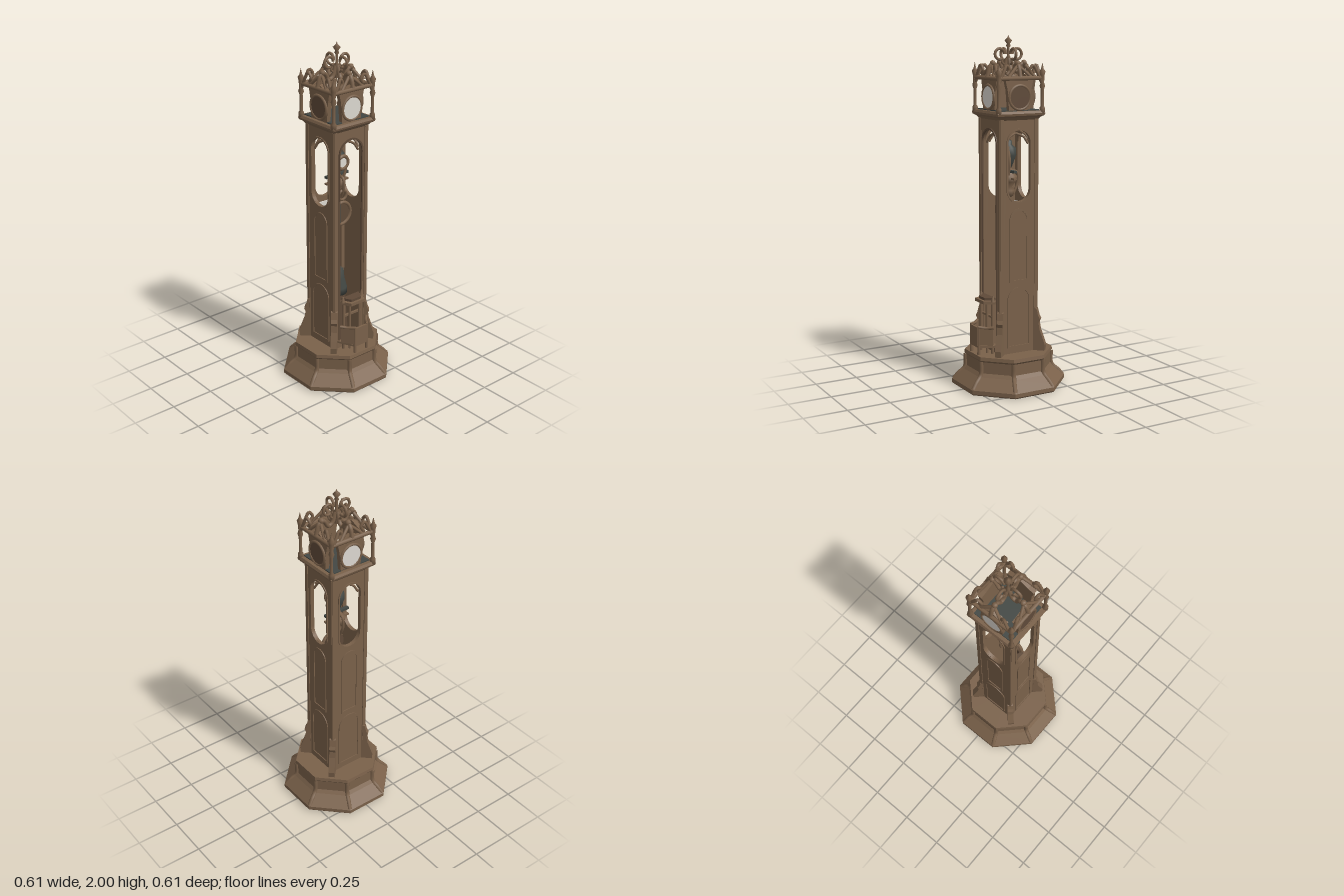
import * as THREE from 'three';

const mat = (name, color, side = THREE.FrontSide) => {
  const m = new THREE.MeshStandardMaterial({ color, side });
  m.name = name;
  return m;
};

export function createModel() {
  const brown = mat('bronze brown', 0x7a614a);
  const dark = mat('shadow brown', 0x5f4a39);
  const slate = mat('slate', 0x434844);
  const cream = mat('dial cream', 0xdcd8d0);
  const model = new THREE.Group();
  model.name = 'clockTower';

  const add = (parent, name, geo, material, x = 0, y = 0, z = 0) => {
    const m = new THREE.Mesh(geo, material);
    m.name = name;
    m.position.set(x, y, z);
    parent.add(m);
    return m;
  };
  const box = (p, n, w, h, d, m, x, y, z) => add(p, n, new THREE.BoxGeometry(w, h, d), m, x, y, z);
  const cyl = (p, n, r1, r2, h, m, x, y, z, seg = 10) =>
    add(p, n, new THREE.CylinderGeometry(r1, r2, h, seg), m, x, y, z);
  const lathe = (p, n, pts, m, x = 0, z = 0, seg = 16) =>
    add(p, n, new THREE.LatheGeometry(pts.map(([r, y]) => new THREE.Vector2(r, y)), seg), m, x, 0, z);
  const tube = (p, n, pts, r, m) => add(p, n, new THREE.TubeGeometry(
    new THREE.CatmullRomCurve3(pts.map(a => new THREE.Vector3(...a))), 20, r, 7), m);
  const extrude = (shape, depth) =>
    new THREE.ExtrudeGeometry(shape, { depth, bevelEnabled: false, curveSegments: 14 });
  const poly = pts => new THREE.Shape(pts.map(a => new THREE.Vector2(...a)));
  // Round-headed outline, optionally round at the foot too
  const arch = (Type, w, y0, y1, roundFoot) => {
    const s = new Type();
    s.moveTo(w, roundFoot ? y0 + w : y0);
    s.lineTo(w, y1 - w);
    s.absarc(0, y1 - w, w, 0, Math.PI, false);
    s.lineTo(-w, roundFoot ? y0 + w : y0);
    if (roundFoot) s.absarc(0, y0 + w, w, Math.PI, Math.PI * 2, false);
    else s.lineTo(w, y0);
    return s;
  };
  const frame = (w, y0, y1, t, roundFoot) => {
    const s = arch(THREE.Shape, w, y0, y1, roundFoot);
    s.holes.push(arch(THREE.Path, w - t, y0 + t, y1 - t, roundFoot));
    return s;
  };

  // Octagonal plinth, flat sides facing the axes
  const rings = [[0, 0], [0.298, 0], [0.305, 0.008], [0.305, 0.03], [0.29, 0.045], [0.245, 0.09],
    [0.23, 0.11], [0.23, 0.175], [0.238, 0.185], [0.235, 0.205], [0, 0.205]];
  const c8 = 1 / Math.cos(Math.PI / 8);
  const plinthGeo = new THREE.LatheGeometry(
    rings.map(([r, y]) => new THREE.Vector2(r * c8, y)), 8, Math.PI / 8).toNonIndexed();
  plinthGeo.computeVertexNormals();
  add(model, 'plinth', plinthGeo, brown);
  const under = cyl(model, 'plinthUnderside', 0.285 * c8, 0.285 * c8, 0.004, slate, 0, 0.001, 0, 8);
  under.rotation.y = Math.PI / 8;
  // Worn ribs on the plinth corners
  for (let i = 0; i < 8; i++) {
    const g = new THREE.Group();
    g.name = 'plinthCorner';
    g.rotation.y = Math.PI / 8 + i * Math.PI / 4;
    model.add(g);
    tube(g, 'plinthRib', [[0, 0.03, 0.318], [0, 0.06, 0.292], [0, 0.1, 0.253], [0, 0.18, 0.25]], 0.013, brown);
  }

  // Four sides: wall, window, panels, dial and crown rib
  for (let k = 0; k < 4; k++) {
    const side = new THREE.Group();
    side.name = ['frontSide', 'leftSide', 'backSide', 'rightSide'][k];
    side.rotation.y = k * Math.PI / 2;
    model.add(side);

    const wall = poly([[-0.122, 0.2], [0.122, 0.2], [0.118, 1.56], [-0.118, 1.56]]);
    wall.holes.push(k === 0 ? arch(THREE.Path, 0.08, 0.24, 1.48, false) : arch(THREE.Path, 0.072, 1.08, 1.48, true));
    add(side, 'wall', extrude(wall, 0.018), brown, 0, 0, 0.102);
    if (k === 0) {
      add(side, 'doorFrame', extrude(frame(0.088, 0.24, 1.488, 0.01, false), 0.008), dark, 0, 0, 0.118);
    } else {
      add(side, 'windowFrame', extrude(frame(0.08, 1.07, 1.488, 0.009, true), 0.007), brown, 0, 0, 0.118);
      add(side, 'longPanelFrame', extrude(frame(0.06, 0.62, 1.04, 0.012, false), 0.006), brown, 0, 0, 0.119);
      add(side, 'lowPanelFrame', extrude(frame(0.075, 0.24, 0.59, 0.01, false), 0.006), brown, 0, 0, 0.119);
    }
    for (const s of [-1, 1])
      box(side, 'cornerStrip', 0.022, 1.32, 0.008, brown, s * 0.11, 0.88, 0.121);
    // Pendant curls in the window head
    for (const s of [-1, 1])
      tube(side, 'windowCurl', [[s * 0.07, 1.4, 0.1], [s * 0.045, 1.44, 0.09], [0, 1.46, 0.08]], 0.007, brown);

    // Belfry dial panel with a gabled top
    const panel = poly([[-0.066, 1.58], [0.066, 1.58], [0.075, 1.7], [0.088, 1.755], [0.05, 1.765],
      [0, 1.785], [-0.05, 1.765], [-0.088, 1.755], [-0.075, 1.7]]);
    add(side, 'dialPanel', extrude(panel, 0.025), brown, 0, 0, 0.1);
    const dial = cyl(side, 'dial', 0.064, 0.064, 0.006, k % 2 ? dark : cream, 0, 1.66, 0.128, 28);
    dial.rotation.x = Math.PI / 2;
    add(side, 'dialRim', new THREE.TorusGeometry(0.066, 0.008, 6, 28), brown, 0, 1.66, 0.128);

    // Crown edge rail, scrolls and rib to the centre
    const rail = cyl(side, 'crownRail', 0.012, 0.012, 0.28, brown, 0, 1.765, 0.135, 7);
    rail.rotation.z = Math.PI / 2;
    for (const s of [-1, 1]) {
      tube(side, 'edgeScroll', [[s * 0.135, 1.74, 0.135], [s * 0.105, 1.8, 0.135], [s * 0.085, 1.835, 0.13],
        [s * 0.065, 1.81, 0.125], [s * 0.08, 1.785, 0.125]], 0.009, brown);
      tube(side, 'gableScroll', [[s * 0.07, 1.77, 0.13], [s * 0.04, 1.8, 0.12], [0, 1.835, 0.105]], 0.009, brown);
    }
    tube(side, 'crownRib', [[0, 1.77, 0.135], [0, 1.83, 0.115], [0, 1.84, 0.085], [0, 1.8, 0.055],
      [0, 1.81, 0.03], [0, 1.87, 0.008]], 0.012, brown);
    add(side, 'ribKnob', new THREE.SphereGeometry(0.017, 8, 6), brown, 0, 1.845, 0.1);
    // Curled ring of the finial
    const curl = add(side, 'finialCurl', new THREE.TorusGeometry(0.03, 0.008, 7, 18, 5.2), brown, 0, 1.895, 0.055);
    curl.rotation.set(0, Math.PI / 2, 0);
    tube(side, 'finialStem', [[0, 1.83, 0.012], [0, 1.85, 0.04], [0, 1.87, 0.035]], 0.007, brown);

    // Corner pinnacle
    lathe(side, 'pinnacle', [[0.0, 1.57], [0.016, 1.57], [0.016, 1.6], [0.009, 1.61], [0.009, 1.7], [0.016, 1.72],
      [0.01, 1.74], [0.013, 1.78], [0.018, 1.8], [0.008, 1.815], [0, 1.85]], brown, 0.138, 0.138, 8);

    // Flared corner foot
    const corner = new THREE.Group();
    corner.name = 'cornerFoot';
    corner.rotation.y = Math.PI / 4;
    side.add(corner);
    const foot = poly([[0.14, 0.2], [0.218, 0.2], [0.222, 0.24], [0.208, 0.28], [0.19, 0.33], [0.184, 0.37],
      [0.192, 0.39], [0.182, 0.41], [0.172, 0.45], [0.14, 0.47]]);
    const footMesh = add(corner, 'footScroll', extrude(foot, 0.036), brown, -0.018, 0, 0);
    footMesh.rotation.y = -Math.PI / 2;
    footMesh.position.x = 0.018;
  }

  // Cornice and inner floors
  const cornice = [[0.12, 1.535], [0.132, 1.55], [0.148, 1.56], [0.152, 1.572], [0.145, 1.585], [0, 1.585]];
  const corniceGeo = new THREE.LatheGeometry(
    cornice.map(([r, y]) => new THREE.Vector2(r * Math.SQRT2, y)), 4, Math.PI / 4).toNonIndexed();
  corniceGeo.computeVertexNormals();
  add(model, 'cornice', corniceGeo, brown);
  box(model, 'belfryFloor', 0.25, 0.008, 0.25, slate, 0, 1.587, 0);
  box(model, 'shaftCeiling', 0.2, 0.01, 0.2, dark, 0, 1.53, 0);
  box(model, 'backLining', 0.2, 0.5, 0.006, cream, 0, 0.8, -0.098);

  // Finial spike
  lathe(model, 'finial', [[0, 1.8], [0.012, 1.8], [0.009, 1.85], [0.018, 1.865], [0.008, 1.885], [0.007, 1.93],
    [0.014, 1.94], [0.008, 1.95], [0.022, 1.97], [0.006, 1.985], [0, 2]], brown, 0, 0, 8);

  // Hanging movement inside the shaft
  const works = new THREE.Group();
  works.name = 'movement';
  model.add(works);
  cyl(works, 'hanger', 0.008, 0.008, 0.14, brown, 0, 1.46, 0);
  lathe(works, 'upperBell', [[0, 1.25], [0.018, 1.26], [0.03, 1.29], [0.045, 1.33], [0.043, 1.37], [0.02, 1.39],
    [0.022, 1.41], [0, 1.42]], slate);
  lathe(works, 'vase', [[0, 1.08], [0.03, 1.1], [0.035, 1.13], [0.02, 1.15], [0.045, 1.18], [0.05, 1.21],
    [0.025, 1.235], [0.018, 1.26]], brown);
  add(works, 'smallDialRing', new THREE.TorusGeometry(0.037, 0.011, 7, 22), brown, 0, 1.325, 0.05);
  cyl(works, 'smallDial', 0.034, 0.034, 0.008, cream, 0, 1.325, 0.05, 22).rotation.x = Math.PI / 2;
  add(works, 'lowerRing', new THREE.TorusGeometry(0.028, 0.008, 7, 18), brown, 0, 1.13, 0.05);
  for (const s of [-1, 1]) {
    tube(works, 'vaseHandle', [[0, 1.24, s * 0.02], [0, 1.23, s * 0.055], [0, 1.17, s * 0.06], [0, 1.1, s * 0.03]], 0.008, brown);
    tube(works, 'sideCurl', [[s * 0.03, 1.38, 0.02], [s * 0.05, 1.29, 0.02], [s * 0.035, 1.22, 0.02]], 0.008, brown);
    box(works, 'pendulumRod', 0.02, 0.42, 0.02, brown, s * 0.022, 0.8, 0.02);
  }
  box(works, 'crossBar', 0.16, 0.014, 0.02, slate, 0, 1.24, 0);
  box(works, 'lowerCrossBar', 0.16, 0.01, 0.02, brown, 0, 1.2, 0);
  cyl(works, 'pendulumDisc', 0.066, 0.066, 0.02, dark, 0, 1.015, 0.03, 28).rotation.x = Math.PI / 2;
  add(works, 'pendulumRim', new THREE.TorusGeometry(0.066, 0.01, 7, 28), brown, 0, 1.015, 0.04);
  box(works, 'pendulumBand', 0.03, 0.12, 0.008, slate, -0.02, 1.015, 0.041);
  box(works, 'middleRod', 0.024, 0.42, 0.012, slate, 0, 0.8, 0.012);
  lathe(works, 'lowerBell', [[0, 0.5], [0.06, 0.5], [0.06, 0.54], [0.045, 0.6], [0.04, 0.66], [0.015, 0.68], [0, 0.68]], slate);
  cyl(works, 'bellStand', 0.05, 0.07, 0.3, dark, 0, 0.35, 0, 12);

  // Small canopied porch at the foot of the front
  const porch = new THREE.Group();
  porch.name = 'porch';
  model.add(porch);
  const trapezoid = (w0, w1, z0, z1) => poly([[-w0, -z0], [-w1, -z1], [w1, -z1], [w0, -z0]]);
  const slab = (name, w0, w1, z0, z1, y, h, m) => {
    add(porch, name, extrude(trapezoid(w0, w1, z0, z1), h), m, 0, y, 0).rotation.x = -Math.PI / 2;
  };
  slab('canopy', 0.085, 0.05, 0.12, 0.19, 0.495, 0.018, brown);
  slab('canopyTop', 0.065, 0.035, 0.12, 0.175, 0.513, 0.015, dark);
  slab('porchFloor', 0.1, 0.05, 0.12, 0.225, 0.245, 0.012, brown);
  for (const s of [-1, 1]) {
    cyl(porch, 'rearColumn', 0.009, 0.009, 0.3, brown, s * 0.065, 0.355, 0.14);
    cyl(porch, 'frontColumn', 0.008, 0.008, 0.3, brown, s * 0.036, 0.355, 0.16);
    cyl(porch, 'porchLeg', 0.008, 0.01, 0.17, brown, s * 0.045, 0.285, 0.218);
    cyl(porch, 'canopyKnob', 0.004, 0.013, 0.035, brown, s * 0.07, 0.525, 0.14);
    tube(porch, 'sideRail', [[s * 0.1, 0.365, 0.15], [s * 0.072, 0.36, 0.18], [s * 0.045, 0.365, 0.22]], 0.009, brown);
    box(porch, 'sidePanel', 0.01, 0.1, 0.08, brown, s * 0.07, 0.31, 0.185).rotation.y = -s * 0.6;
  }
  box(porch, 'frontPanel', 0.085, 0.11, 0.012, brown, 0, 0.31, 0.222);
  box(porch, 'backRail', 0.14, 0.012, 0.012, brown, 0, 0.42, 0.142);
  return model;
}
